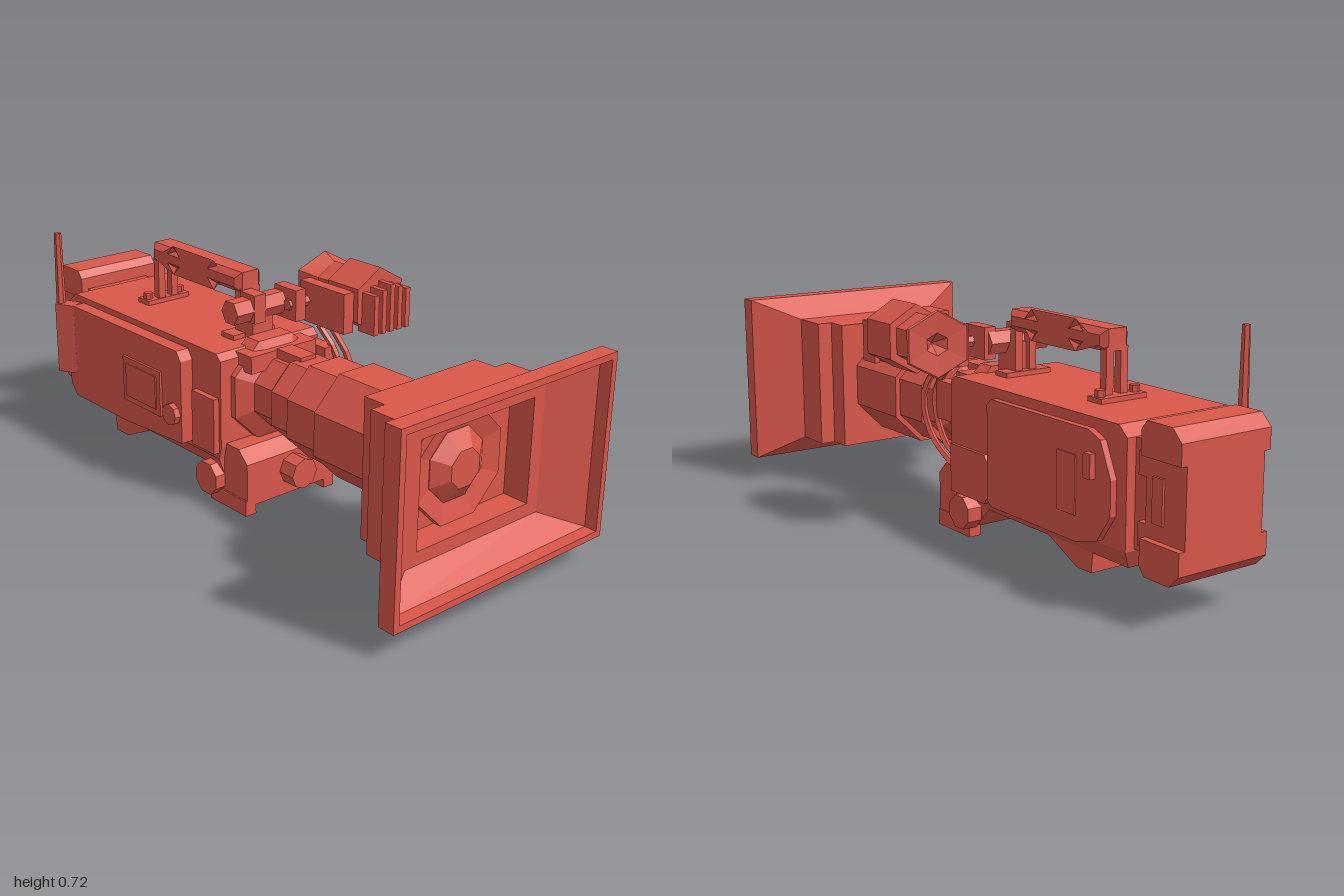
import * as THREE from 'three';

const red = new THREE.MeshStandardMaterial({ color: 0xd9574a });
red.name = 'red';

export function createModel() {
  const model = new THREE.Group();
  model.name = 'videoCamera';

  // Every part is faceted: split the faces and give each its own normal
  function add(name, geo) {
    const g = geo.index ? geo.toNonIndexed() : geo;
    g.computeVertexNormals();
    const mesh = new THREE.Mesh(g, red);
    mesh.name = name;
    model.add(mesh);
    return mesh;
  }

  // Box given by its limits on each axis
  function box(name, x0, x1, y0, y1, z0, z1) {
    return add(name, new THREE.BoxGeometry(x1 - x0, y1 - y0, z1 - z0)
      .translate((x0 + x1) / 2, (y0 + y1) / 2, (z0 + z1) / 2));
  }

  // Side outline of [z, y] points, extruded from x0 to x1
  function sideGeo(pts, x0, x1, holes = [], bevel = 0) {
    const shape = new THREE.Shape(pts.map(p => new THREE.Vector2(...p)));
    for (const h of holes) shape.holes.push(new THREE.Path(h.map(p => new THREE.Vector2(...p))));
    return new THREE.ExtrudeGeometry(shape, {
      depth: x1 - x0 - 2 * bevel, bevelEnabled: bevel > 0, bevelSegments: 1,
      bevelThickness: bevel, bevelSize: bevel, bevelOffset: -bevel,
    }).translate(0, 0, bevel).rotateY(-Math.PI / 2).translate(x1, 0, 0);
  }
  const side = (name, ...args) => add(name, sideGeo(...args));

  // Polygonal turned part along z; profile is [apothem, z] from back to front
  function turned(profile, n, phi) {
    const k = 1 / Math.cos(Math.PI / n);
    return new THREE.LatheGeometry(profile.map(([r, z]) => new THREE.Vector2(r * k, z)), n, phi)
      .rotateX(Math.PI / 2);
  }

  // Loft through rectangles [halfWidth, halfHeight, z]
  function rectLoft(rings) {
    const pos = [];
    const corner = ([w, h, z], j) => [[w, -h, z], [w, h, z], [-w, h, z], [-w, -h, z]][j % 4];
    for (let i = 0; i < rings.length - 1; i++) {
      for (let j = 0; j < 4; j++) {
        const a = corner(rings[i], j), b = corner(rings[i], j + 1);
        const c = corner(rings[i + 1], j + 1), d = corner(rings[i + 1], j);
        pos.push(...a, ...b, ...c, ...a, ...c, ...d);
      }
    }
    const g = new THREE.BufferGeometry();
    g.setAttribute('position', new THREE.Float32BufferAttribute(pos, 3));
    return g;
  }

  // Hood, with flared rim and stepped pocket
  const axisY = 0.36;
  add('hood', rectLoft([
    [0, 0, 0.67], [0.215, 0.21, 0.67], [0.215, 0.21, 0.745], [0.265, 0.21, 0.745],
    [0.265, 0.21, 0.87], [0.415, 0.28, 0.945], [0.415, 0.28, 1], [0.395, 0.26, 1],
    [0.395, 0.26, 0.96], [0.263, 0.2, 0.885], [0.22, 0.16, 0.885], [0.22, 0.16, 0.8], [0, 0, 0.8],
  ])).position.y = axisY;

  // Lens barrel and front glass
  add('lensBarrel', turned([
    [0, 0], [0.16, 0], [0.16, 0.06], [0.11, 0.09], [0.11, 0.17], [0.128, 0.19], [0.128, 0.28],
    [0.145, 0.28], [0.145, 0.415], [0.161, 0.415], [0.161, 0.68], [0, 0.68],
  ], 8, Math.PI / 8)).position.y = axisY;
  add('lensRim', turned([
    [0.16, 0.795], [0.16, 0.825], [0.103, 0.808], [0.103, 0.795],
  ], 8, Math.PI / 8)).position.y = axisY;
  add('frontGlass', turned([
    [0.103, 0.795], [0.103, 0.81], [0.055, 0.845], [0, 0.845],
  ], 8, Math.PI / 8)).position.y = axisY;

  // Main body
  side('body', [[0.03, 0.16], [0.04, 0.2], [0.04, 0.48], [0.02, 0.5], [-0.75, 0.5],
    [-0.785, 0.47], [-0.785, 0.16]], -0.2, 0.19);

  // Underside narrows below the body
  const belly = sideGeo([[0.03, 0.16], [0.03, 0.03], [-0.03, 0.03], [-0.1, 0.1], [-0.4, 0.1],
    [-0.53, 0.04], [-0.595, 0.04], [-0.6, 0.1], [-0.75, 0.1], [-0.785, 0.16]], -0.2, 0.19);
  const bp = belly.attributes.position;
  for (let i = 0; i < bp.count; i++) if (bp.getY(i) < 0.15) bp.setX(i, bp.getX(i) * 0.78);
  add('belly', belly);

  // Right and left side panels
  side('sidePanel', [[-0.18, 0.16], [-0.2, 0.145], [-0.6, 0.145], [-0.69, 0.17], [-0.745, 0.25],
    [-0.745, 0.35], [-0.7, 0.45], [-0.65, 0.47], [-0.2, 0.47], [-0.18, 0.45]], 0.18, 0.21);
  side('frontDoor', [[0.03, 0.14], [-0.15, 0.14], [-0.165, 0.16], [-0.165, 0.27], [-0.15, 0.29],
    [0.03, 0.29]], 0.18, 0.2);
  box('panelWindow', 0.205, 0.215, 0.22, 0.39, -0.6, -0.52);
  box('panelSwitch', 0.205, 0.228, 0.34, 0.41, -0.68, -0.65);
  side('oppositePanel', [[-0.1, 0.18], [-0.4, 0.16], [-0.7, 0.16], [-0.73, 0.2], [-0.73, 0.46],
    [-0.7, 0.48], [-0.12, 0.48], [-0.1, 0.45]], -0.245, -0.19);
  box('displayFrame', -0.253, -0.24, 0.24, 0.39, -0.4, -0.2);
  box('displayScreen', -0.257, -0.25, 0.26, 0.37, -0.38, -0.22);
  add('sideKnob', new THREE.CylinderGeometry(0.035, 0.035, 0.05, 8).rotateZ(Math.PI / 2)
    .translate(-0.24, 0.27, -0.14));
  box('sideGrip', -0.22, -0.19, 0.18, 0.36, -0.08, 0.03);

  // Rear sockets
  for (let row = 0; row < 5; row++) {
    for (const x of [-0.175, -0.125]) {
      add('rearSocket', new THREE.CylinderGeometry(0.022, 0.022, 0.05, 4).rotateX(Math.PI / 2)
        .translate(x, 0.2 + row * 0.06, -0.785));
    }
  }

  // Battery and its mount
  box('batteryMount', -0.085, 0.16, 0.165, 0.47, -0.87, -0.77);
  for (const y of [0.19, 0.38]) box('mountLatch', 0.15, 0.18, y, y + 0.065, -0.86, -0.82);
  side('batteryTop', [[-0.85, 0.44], [-0.85, 0.51], [-0.87, 0.535], [-0.965, 0.535],
    [-1, 0.5], [-1, 0.44]], -0.11, 0.2);
  side('batteryBase', [[-0.85, 0.22], [-0.85, 0.145], [-0.87, 0.12], [-0.965, 0.12],
    [-1, 0.155], [-1, 0.22]], -0.11, 0.2);
  box('batteryCore', -0.09, 0.18, 0.2, 0.46, -1, -0.85);
  box('batteryLabel', 0.175, 0.187, 0.265, 0.39, -0.92, -0.88);

  // Antenna on its tilted base
  add('antenna', new THREE.CylinderGeometry(0.012, 0.016, 0.26, 6).translate(-0.253, 0.59, -0.757));
  add('antennaBase', new THREE.BoxGeometry(0.05, 0.24, 0.07).rotateY(0.5).translate(-0.24, 0.36, -0.735));

  // Carrying handle with diamond cut-outs
  const diamond = z => [[z - 0.022, 0.67], [z, 0.648], [z + 0.022, 0.67], [z, 0.692]];
  side('handleBar', [[-0.06, 0.637], [-0.06, 0.702], [-0.515, 0.702], [-0.515, 0.637]],
    -0.05, 0.05, [diamond(-0.18), diamond(-0.39)], 0.018);
  for (const z of [-0.075, -0.503]) {
    for (const x of [-0.026, 0.026]) box('handlePost', x - 0.013, x + 0.013, 0.49, 0.65, z - 0.012, z + 0.014);
  }
  box('rearHandleFoot', -0.085, 0.08, 0.49, 0.515, -0.545, -0.485);
  box('frontHandleFoot', -0.085, 0.08, 0.49, 0.515, -0.1, -0.04);
  for (const x of [-0.065, 0.06]) {
    add('footScrew', new THREE.CylinderGeometry(0.016, 0.016, 0.03, 6).translate(x, 0.52, -0.515));
  }

  // Cross bar carrying the viewfinder
  add('crossBar', new THREE.CylinderGeometry(0.04, 0.04, 0.22, 6).rotateZ(Math.PI / 2).translate(-0.005, 0.6, -0.02));
  add('viewfinderArm', new THREE.CylinderGeometry(0.018, 0.018, 0.2, 6).rotateZ(Math.PI / 2).translate(0.17, 0.6, 0.03));
  box('barClampLeft', 0.08, 0.12, 0.55, 0.65, -0.04, 0.06);
  box('barClampRight', -0.05, -0.005, 0.56, 0.65, -0.05, 0.02);
  box('armClamp', 0.15, 0.19, 0.53, 0.658, 0.0, 0.2);
  box('barBracket', -0.04, 0.04, 0.49, 0.6, -0.07, 0.0);

  // Viewfinder
  const finder = [0.285, 0.615, 0];
  add('viewfinderBody', turned([
    [0, 0.01], [0.07, 0.01], [0.07, 0.08], [0.092, 0.08], [0.092, 0.215], [0, 0.215],
  ], 6, 0)).position.set(...finder);
  const cup = turned([
    [0.04, 0.0], [0.03, -0.035], [0.086, -0.04], [0.09, -0.035], [0.06, 0.025], [0, 0.025],
  ].map((p, i) => (i === 0 ? [0, -0.0] : p)), 6, 0);
  const cp = cup.attributes.position;
  for (let i = 0; i < cp.count; i++) if (cp.getZ(i) < -0.01) cp.setZ(i, cp.getZ(i) + cp.getX(i) * 0.27);
  add('eyecup', cup).position.set(...finder);
  for (let i = 0; i < 5; i++) {
    const x = 0.22 + i * 0.033;
    box('viewfinderFin', x - 0.009, x + 0.009, 0.53, 0.68 - Math.abs(i - 2) * 0.012, 0.2, 0.27);
  }

  // Front block, base plate and feet
  side('frontBlock', [[0.14, 0.13], [0.14, 0.17], [0.1, 0.21], [0, 0.21], [0, 0.07], [0.14, 0.07]], -0.18, 0.17);
  box('basePlate', -0.18, 0.17, 0.03, 0.08, -0.03, 0.14);
  for (const x of [-0.165, 0.155]) box('foot', x - 0.02, x + 0.02, 0, 0.05, -0.035, 0.14);
  for (const x of [-0.19, 0.18]) {
    add('baseKnob', new THREE.CylinderGeometry(0.055, 0.055, 0.05, 8).rotateY(Math.PI / 8)
      .rotateZ(Math.PI / 2).translate(x, 0.083, -0.02));
  }
  add('lensSupport', new THREE.CylinderGeometry(0.05, 0.05, 0.1, 8).rotateX(Math.PI / 2).translate(0, 0.112, 0.15));
  box('frontPlate', -0.13, 0.13, 0.44, 0.495, 0.02, 0.1);
  box('lensClip', -0.03, 0.03, 0.46, 0.5, 0.1, 0.21);

  // Cables looping down beside the lens mount
  const cables = [
    [[0.17, 0.53, 0.13], [0.2, 0.42, 0.18], [0.19, 0.3, 0.16], [0.18, 0.23, 0.08], [0.17, 0.2, 0.03]],
    [[0.16, 0.53, 0.08], [0.18, 0.44, 0.14], [0.18, 0.34, 0.13], [0.17, 0.25, 0.07], [0.15, 0.24, 0.03]],
  ];
  for (const pts of cables) {
    const curve = new THREE.CatmullRomCurve3(pts.map(p => new THREE.Vector3(...p)));
    add('cable', new THREE.TubeGeometry(curve, 10, 0.011, 5));
  }
  box('cablePlug', 0.14, 0.185, 0.35, 0.47, 0.04, 0.13);

  return model;
}
